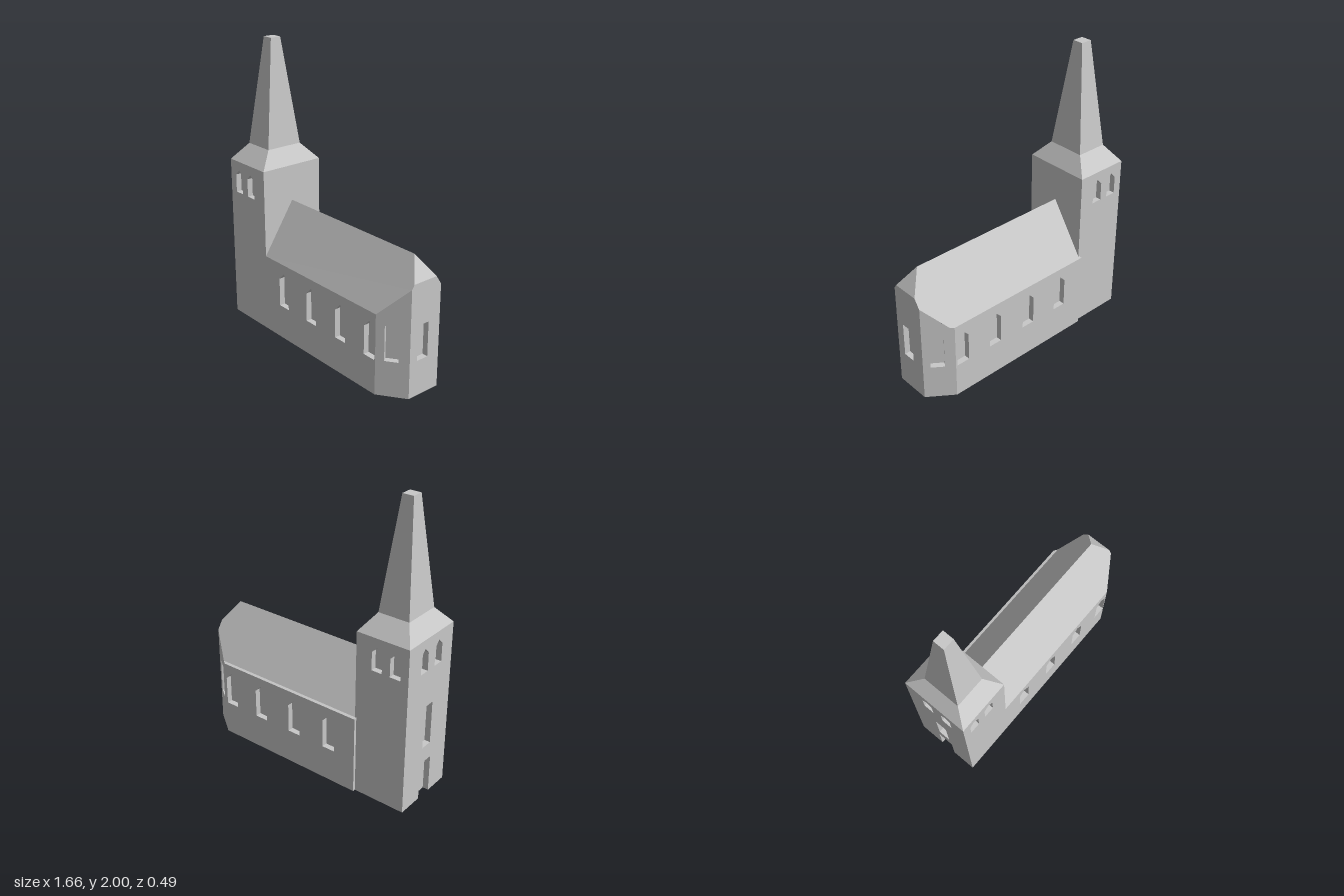
import * as THREE from 'three';
import { mergeGeometries } from 'three/addons/utils/BufferGeometryUtils.js';

const DEPTH = 0.04; // depth of window and door recesses

// Flat convex polygons, each fanned into triangles (corners run counter-clockwise from outside)
function facets(polygons) {
  const out = [];
  for (const p of polygons) {
    for (let i = 1; i < p.length - 1; i++) out.push(...p[0], ...p[i], ...p[i + 1]);
  }
  const g = new THREE.BufferGeometry();
  g.setAttribute('position', new THREE.Float32BufferAttribute(out, 3));
  g.computeVertexNormals();
  return g;
}

function flatShape(points, holes = []) {
  const s = new THREE.Shape(points.map(p => new THREE.Vector2(...p)));
  s.holes = holes.map(h => new THREE.Path(h.map(p => new THREE.Vector2(...p))));
  const g = new THREE.ShapeGeometry(s).toNonIndexed();
  g.deleteAttribute('uv');
  return g;
}

// Openings: outlines in wall coordinates (u along the wall, v up)
const rect = (c, w, v0, v1) =>
  [[c - w / 2, v0], [c + w / 2, v0], [c + w / 2, v1], [c - w / 2, v1]];
const pointed = (c, w, v0, v1, tip) =>
  [[c - w / 2, v0], [c + w / 2, v0], [c + w / 2, v1], [c, tip], [c - w / 2, v1]];

// Wall from a to b (x, z; left to right seen from outside) with recessed openings
function wallGeometry(a, b, outline, openings = [], door = null) {
  let edge = outline;
  if (door) edge = [outline[0], door[0], door[3], door[2], door[1], ...outline.slice(1)];
  const parts = [flatShape(edge, openings)];
  for (const o of door ? [...openings, door] : openings) {
    const sides = [];
    o.forEach((p, i) => {
      if (o === door && i === 0) return; // a door has no sill
      const q = o[(i + 1) % o.length];
      sides.push([[...p, 0], [...q, 0], [...q, -DEPTH], [...p, -DEPTH]]);
    });
    parts.push(facets(sides), flatShape(o).translate(0, 0, -DEPTH));
  }
  const g = mergeGeometries(parts);
  g.rotateY(Math.atan2(a[1] - b[1], b[0] - a[0]));
  return g.translate(a[0], 0, a[1]);
}

// Four sloping sides between two level rectangles {x: [min, max], z: [min, max], y}
function frustum(lo, hi) {
  const ring = r => [[r.x[0], r.y, r.z[1]], [r.x[1], r.y, r.z[1]],
    [r.x[1], r.y, r.z[0]], [r.x[0], r.y, r.z[0]]];
  const a = ring(lo), b = ring(hi), faces = [b];
  for (let i = 0; i < 4; i++) {
    const j = (i + 1) % 4;
    faces.push([a[i], a[j], b[j], b[i]]);
  }
  return facets(faces);
}

export function createModel() {
  const model = new THREE.Group();
  model.name = 'church';
  const stone = new THREE.MeshStandardMaterial({ color: 0xc8c8c8 });
  stone.name = 'stone grey';

  const add = (name, geometry, parent) => {
    const m = new THREE.Mesh(geometry, stone);
    m.name = name;
    parent.add(m);
  };
  const group = name => {
    const g = new THREE.Group();
    g.name = name;
    model.add(g);
    return g;
  };

  // Tower
  const tower = group('tower');
  const X0 = -0.83, X1 = -0.45, Z0 = -0.228, Z1 = 0.243, TOP = 1.16;
  const W = X1 - X0, D = Z1 - Z0;
  const belfry = c => pointed(c, 0.075, 0.935, 1.06, 1.1);
  const doorway = rect(0.24, 0.115, 0, 0.265);
  add('towerFrontWall', wallGeometry([X0, Z1], [X1, Z1], rect(W / 2, W, 0, TOP),
    [-0.735, -0.602].map(x => belfry(x - X0))), tower);
  add('towerBackWall', wallGeometry([X1, Z0], [X0, Z0], rect(W / 2, W, 0, TOP),
    [-0.735, -0.602].map(x => belfry(X1 - x))), tower);
  add('towerNaveSideWall', wallGeometry([X1, Z1], [X1, Z0], rect(D / 2, D, 0, TOP)), tower);
  add('towerEntranceWall', wallGeometry([X0, Z0], [X0, Z1], rect(D / 2, D, 0, TOP),
    [belfry(0.168), belfry(0.318), rect(0.24, 0.087, 0.38, 0.68)], doorway), tower);

  // Tower floor, notched at the doorway
  const u0 = Z0 + doorway[0][0], u1 = Z0 + doorway[1][0];
  const towerFloor = flatShape([[X0, Z0], [X1, Z0], [X1, Z1], [X0, Z1],
    [X0, u1], [X0 + DEPTH, u1], [X0 + DEPTH, u0], [X0, u0]]);
  add('towerFloor', towerFloor.rotateX(Math.PI / 2), tower);

  // Splayed roof and spire
  const base = { x: [X0, X1], z: [Z0, Z1], y: TOP };
  const neck = { x: [-0.75, -0.53], z: [-0.125, 0.14], y: 1.272 };
  const tip = { x: [-0.68, -0.602], z: [-0.032, 0.044], y: 2 };
  add('towerRoof', frustum(base, neck), tower);
  add('spire', frustum(neck, tip), tower);

  // Nave and apse walls
  const nave = group('nave');
  const F = [0.655, 0.243], E1 = [0.83, 0.12], E2 = [0.83, -0.125], B = [0.66, -0.247];
  const BX = -0.46; // the back wall laps the tower slightly
  const lenF = Math.hypot(E1[0] - F[0], E1[1] - F[1]);
  const lenB = Math.hypot(E2[0] - B[0], E2[1] - B[1]);
  const windowsX = [-0.253, 0.037, 0.328, 0.6];
  const arched = c => pointed(c, 0.096, 0.24, 0.44, 0.49);
  const plain = c => rect(c, 0.09, 0.245, 0.485);

  add('naveFrontWall', wallGeometry([X1, F[1]], F, rect((F[0] - X1) / 2, F[0] - X1, 0, 0.555),
    windowsX.map(x => arched(x - X1))), nave);
  add('naveBackWall', wallGeometry(B, [BX, B[1]], rect((B[0] - BX) / 2, B[0] - BX, 0, 0.55),
    windowsX.map(x => arched(B[0] - x))), nave);
  add('apseFrontWall', wallGeometry(F, E1,
    [[0, 0], [lenF, 0], [lenF, 0.742], [0, 0.555]], [plain(0.101)]), nave);
  add('apseEndWall', wallGeometry(E1, E2,
    [[0, 0], [0.245, 0], [0.245, 0.709], [0.204, 0.77], [0.018, 0.77], [0, 0.742]],
    [plain(0.105)]), nave);
  add('apseBackWall', wallGeometry(E2, B,
    [[0, 0], [lenB, 0], [lenB, 0.55], [0.844 * lenB, 0.555], [0, 0.709]],
    [plain(0.094)]), nave);

  // Roof slopes, small hip over the apse, and the ledge behind the back eaves
  const ridgeA = [X1, 0.91, 0.01], ridgeB = [0.73, 0.91, 0.01];
  const hipF = [0.83, 0.77, 0.102], hipB = [0.83, 0.77, -0.084];
  const eaveB = [0.6865, 0.555, Z0];
  add('naveRoof', facets([
    [[X1, 0.555, Z1], [F[0], 0.555, F[1]], [E1[0], 0.742, E1[1]], hipF, ridgeB, ridgeA],
    [ridgeA, ridgeB, hipB, [E2[0], 0.709, E2[1]], eaveB, [X1, 0.555, Z0]],
    [hipF, hipB, ridgeB],
  ]), nave);
  add('backEavesLedge', facets([
    [[BX, 0.55, B[1]], [BX, 0.555, Z0], eaveB, [B[0], 0.55, B[1]]],
    [[BX, 0, B[1]], [BX, 0, Z0], [BX, 0.555, Z0], [BX, 0.55, B[1]]],
  ]), nave);

  // Nave floor
  const naveFloor = flatShape([[X1, B[1]], B, E2, E1, F, [X1, F[1]]]);
  add('naveFloor', naveFloor.rotateX(Math.PI / 2), nave);

  return model;
}
